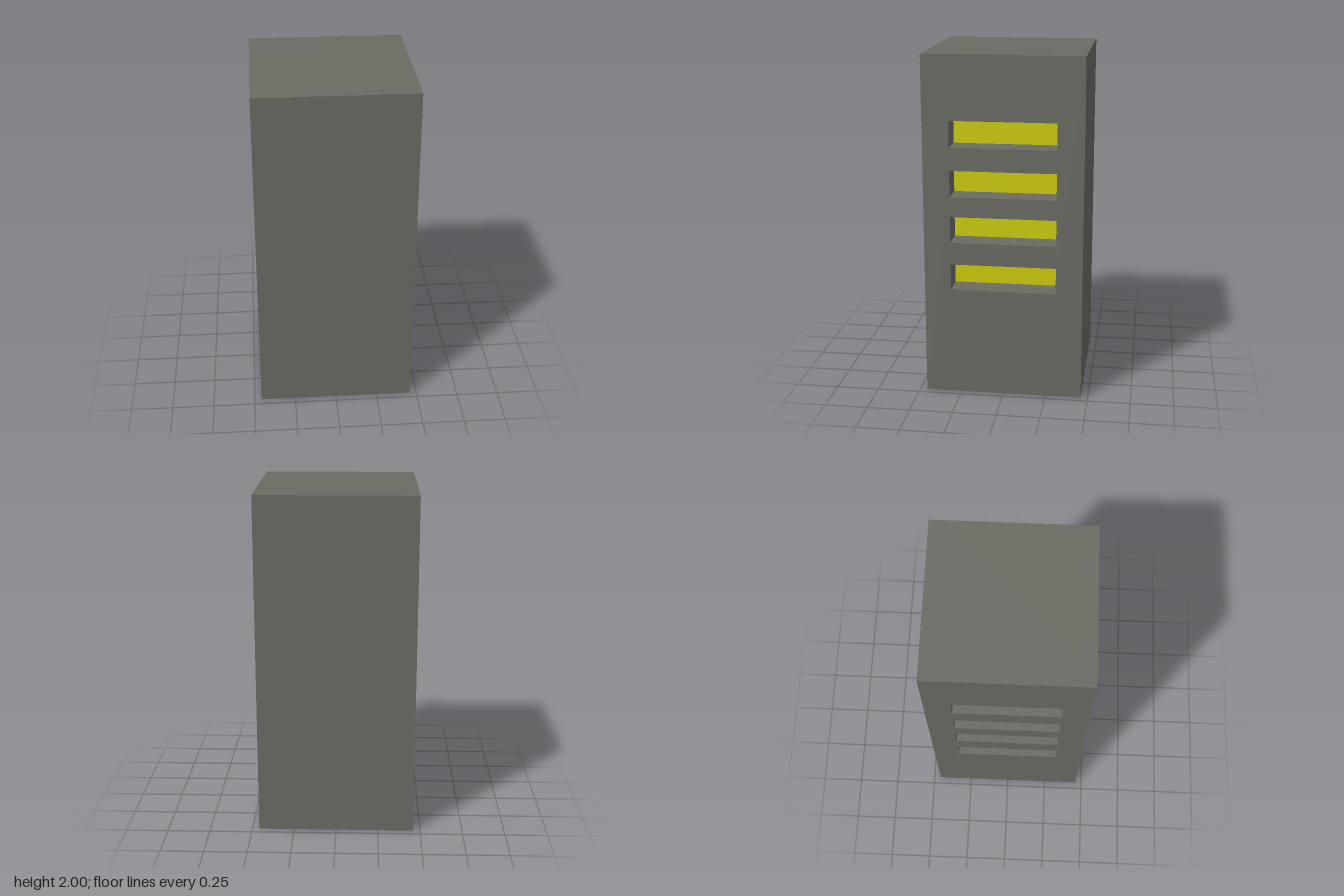
import * as THREE from 'three';

const WIDTH = 0.917, HEIGHT = 2;
const SLOT_LENGTH = 0.61, SLOT_HEIGHT = 0.153;
const SLOT_CENTERS = [0.713, 0.997, 1.267, 1.553];
// Recess depth of the lit bars on each side
const DEPTH_LEFT = 0.147, DEPTH_RIGHT = 0.122;

// Traces a rectangle centred on (cx, cy)
function rect(path, cx, cy, w, h) {
  path.moveTo(cx - w / 2, cy - h / 2);
  path.lineTo(cx + w / 2, cy - h / 2);
  path.lineTo(cx + w / 2, cy + h / 2);
  path.lineTo(cx - w / 2, cy + h / 2);
  path.closePath();
  return path;
}

export function createModel() {
  const model = new THREE.Group();
  model.name = 'slottedTower';
  const stone = new THREE.MeshStandardMaterial({ color: 0x6b6b64 });
  const yellow = new THREE.MeshStandardMaterial({ color: 0xcccc0c });

  // Square block with four slots running through it along x
  const profile = rect(new THREE.Shape(), 0, HEIGHT / 2, WIDTH, HEIGHT);
  for (const y of SLOT_CENTERS) {
    profile.holes.push(rect(new THREE.Path(), 0, y, SLOT_LENGTH, SLOT_HEIGHT));
  }
  const blockGeometry = new THREE.ExtrudeGeometry(profile, { depth: WIDTH, bevelEnabled: false });
  blockGeometry.translate(0, 0, -WIDTH / 2).rotateY(Math.PI / 2);
  const block = new THREE.Mesh(blockGeometry, stone);
  block.name = 'block';
  model.add(block);

  // Yellow bars filling the middle of each slot
  const barWidth = WIDTH - DEPTH_LEFT - DEPTH_RIGHT;
  const barGeometry = new THREE.BoxGeometry(barWidth, SLOT_HEIGHT, SLOT_LENGTH);
  SLOT_CENTERS.forEach((y, i) => {
    const bar = new THREE.Mesh(barGeometry, yellow);
    bar.name = `lightBar${i + 1}`;
    bar.position.set((DEPTH_RIGHT - DEPTH_LEFT) / 2, y, 0);
    model.add(bar);
  });

  return model;
}
